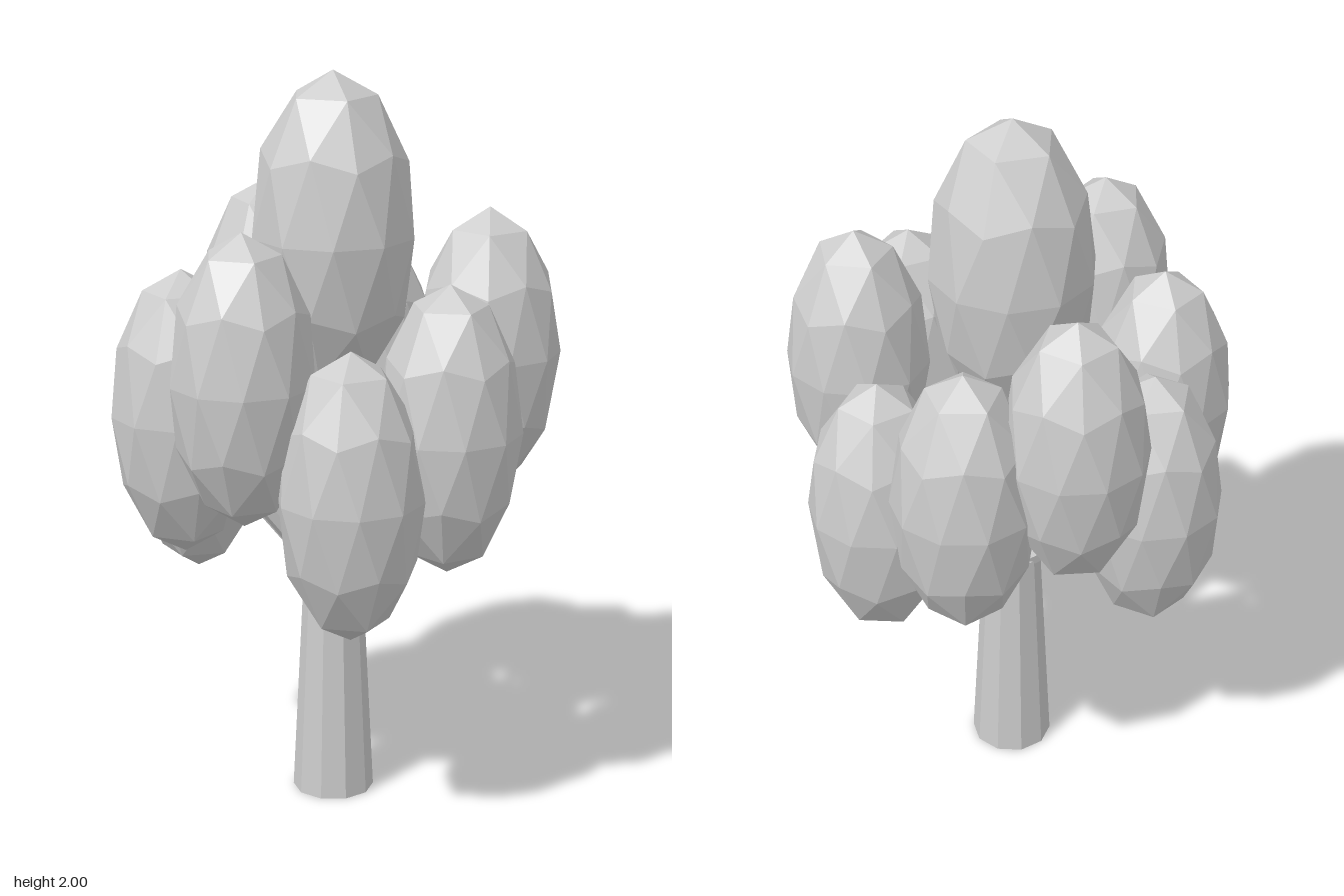
import * as THREE from 'three';

const CENTER_X = -0.013;

export function createModel() {
  const tree = new THREE.Group();
  tree.name = 'tree';
  const grey = new THREE.MeshStandardMaterial({ color: 0xcccccc, flatShading: true });
  grey.name = 'plain grey';

  const add = (geometry, name) => {
    const mesh = new THREE.Mesh(geometry, grey);
    mesh.name = name;
    tree.add(mesh);
    return mesh;
  };

  // Faceted egg of leaves with a vertex at each pole, turned about y
  const addFoliage = (center, radius, halfHeight, turn, name) => {
    const geometry = new THREE.IcosahedronGeometry(1, 1);
    geometry.rotateX(-Math.atan((1 + Math.sqrt(5)) / 2));
    geometry.rotateY(turn);
    geometry.scale(radius, halfHeight, radius);
    geometry.computeVertexNormals();
    add(geometry, name).position.copy(center);
  };

  // Thin tapered limb between two points
  const addBranch = (from, to, name) => {
    const direction = to.clone().sub(from);
    const geometry = new THREE.CylinderGeometry(0.021, 0.028, direction.length(), 6);
    const branch = add(geometry, name);
    branch.position.copy(from).add(to).multiplyScalar(0.5);
    branch.quaternion.setFromUnitVectors(new THREE.Vector3(0, 1, 0), direction.normalize());
  };

  // Trunk: ten sides, corners on the x axis
  const trunk = new THREE.CylinderGeometry(0.079, 0.111, 0.65, 10);
  trunk.rotateY(Math.PI / 2);
  add(trunk, 'trunk').position.set(CENTER_X, 0.325, 0);

  const fork = new THREE.Vector3(CENTER_X, 0.6, 0);

  // Crown at the middle
  const crown = new THREE.Vector3(CENTER_X, 1.57, 0);
  addFoliage(crown, 0.222, 0.43, -Math.PI / 2, 'crownFoliage');
  addBranch(fork, crown, 'crownBranch');

  // Ring of nine, cycling through three heights
  const heights = [0.975, 1.263, 1.117];
  for (let i = 0; i < 9; i++) {
    const a = (i * Math.PI * 2) / 9;
    const center = new THREE.Vector3(
      CENTER_X + 0.41 * Math.cos(a), heights[i % 3], 0.41 * Math.sin(a));
    addFoliage(center, 0.192, 0.385, -a, 'outerFoliage' + (i + 1));
    addBranch(fork, center, 'branch' + (i + 1));
  }
  return tree;
}
